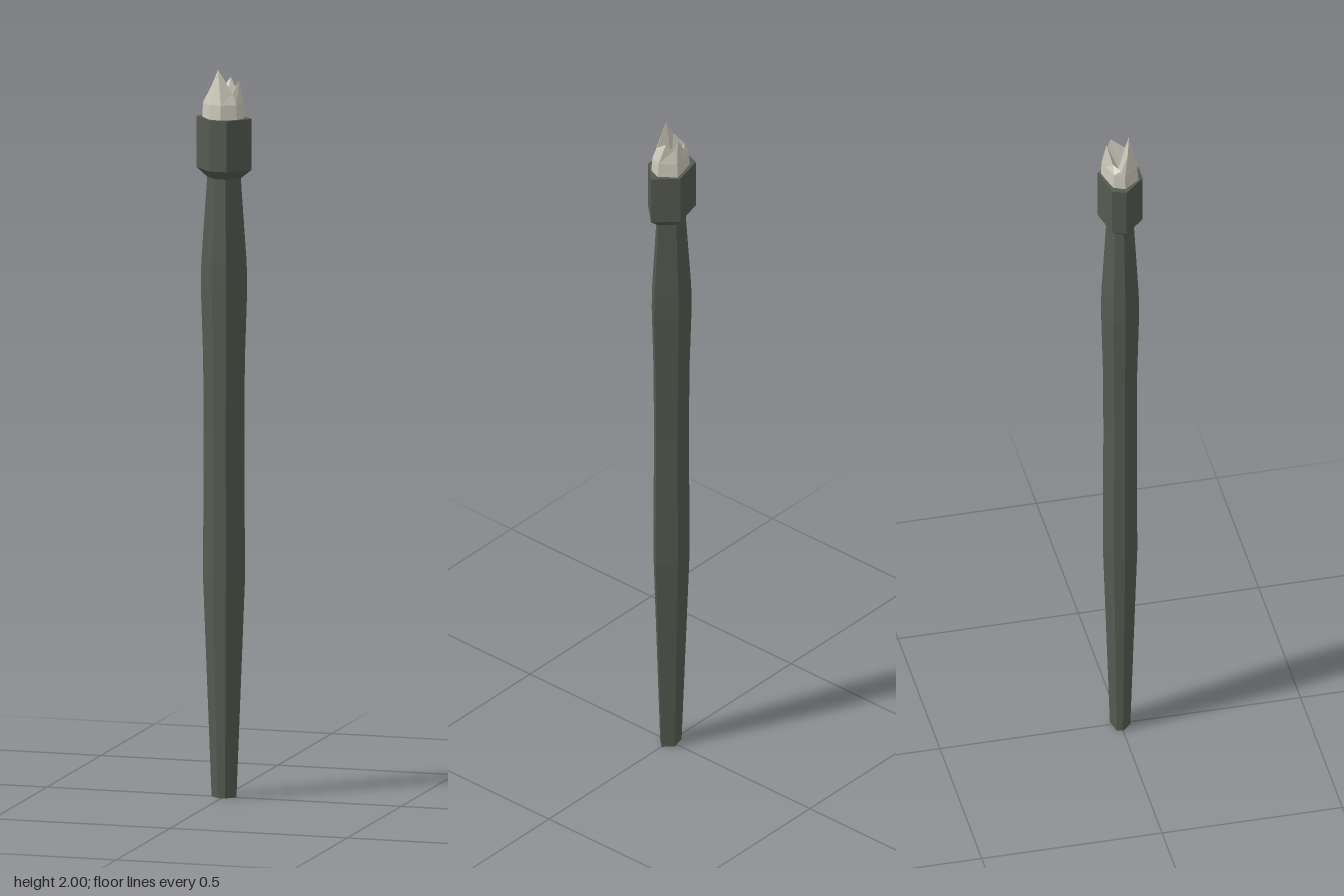
import * as THREE from 'three';

// Uneven six-sided outline shared by the shaft and the collar [x, z]
const outline = [[0.078, 0], [0.024, 0.057], [-0.024, 0.057], [-0.078, 0], [-0.064, -0.037], [0.024, -0.058]];

const ring = (y, scale) => outline.map(([x, z]) => [x * scale, y, z * scale]);

// Skin a stack of rings with flat faces and close both ends to a centre point
function loft(rings, bottomCentre, topCentre) {
  const pos = [];
  const tri = (a, b, c) => pos.push(...a, ...b, ...c);
  const n = rings[0].length;
  const last = rings[rings.length - 1];
  for (let i = 0; i < n; i++) {
    const j = (i + 1) % n;
    for (let r = 0; r < rings.length - 1; r++) {
      const lo = rings[r], hi = rings[r + 1];
      tri(lo[i], hi[i], lo[j]);
      tri(lo[j], hi[i], hi[j]);
    }
    tri(bottomCentre, rings[0][i], rings[0][j]);
    tri(topCentre, last[j], last[i]);
  }
  const geo = new THREE.BufferGeometry();
  geo.setAttribute('position', new THREE.Float32BufferAttribute(pos, 3));
  geo.computeVertexNormals();
  return geo;
}

export function createModel() {
  const group = new THREE.Group();
  const darkWood = new THREE.MeshStandardMaterial({ name: 'darkHandle', color: 0x555a50, flatShading: true });
  const paleStone = new THREE.MeshStandardMaterial({ name: 'paleStone', color: 0xcbc7b9, flatShading: true });

  const add = (name, geo, mat) => {
    const mesh = new THREE.Mesh(geo, mat);
    mesh.name = name;
    group.add(mesh);
  };

  // Long swelling shaft: [height, scale of outline]
  const shaft = [[0, 0.45], [0.6, 0.76], [1.0, 0.735], [1.2, 0.755], [1.4, 0.84], [1.47, 0.82], [1.71, 0.6]];
  add('shaft', loft(shaft.map(([y, s]) => ring(y, s)), [0, 0, 0], [0, 1.71, 0]), darkWood);

  // Collar with a bevelled underside
  const collar = [[1.7, 0.6], [1.725, 1], [1.865, 1]];
  add('collar', loft(collar.map(([y, s]) => ring(y, s)), [0, 1.7, 0], [0, 1.865, 0]), darkWood);

  // Jagged stone crown: alternating tips and notches around a sunken middle
  const crown = [
    [0.03, 1.935, 0.02],
    [-0.01, 2.0, 0.022],
    [-0.03, 1.955, 0.014],
    [-0.052, 1.92, -0.008],
    [-0.025, 1.925, -0.026],
    [0.008, 1.97, -0.036],
    [0.022, 1.945, -0.033],
    [0.037, 1.965, -0.018],
  ];
  const foot = [
    [0.045, 0.028], [0.005, 0.05], [-0.03, 0.044], [-0.062, 0.0],
    [-0.048, -0.03], [-0.005, -0.043], [0.024, -0.049], [0.057, -0.006],
  ];
  const base = foot.map(([x, z]) => [x, 1.86, z]);
  const waist = foot.map(([x, z]) => [x * 0.95, 1.905, z * 0.93]);
  add('stoneCrown', loft([base, waist, crown], [0, 1.86, 0], [0, 1.89, -0.005]), paleStone);

  return group;
}
